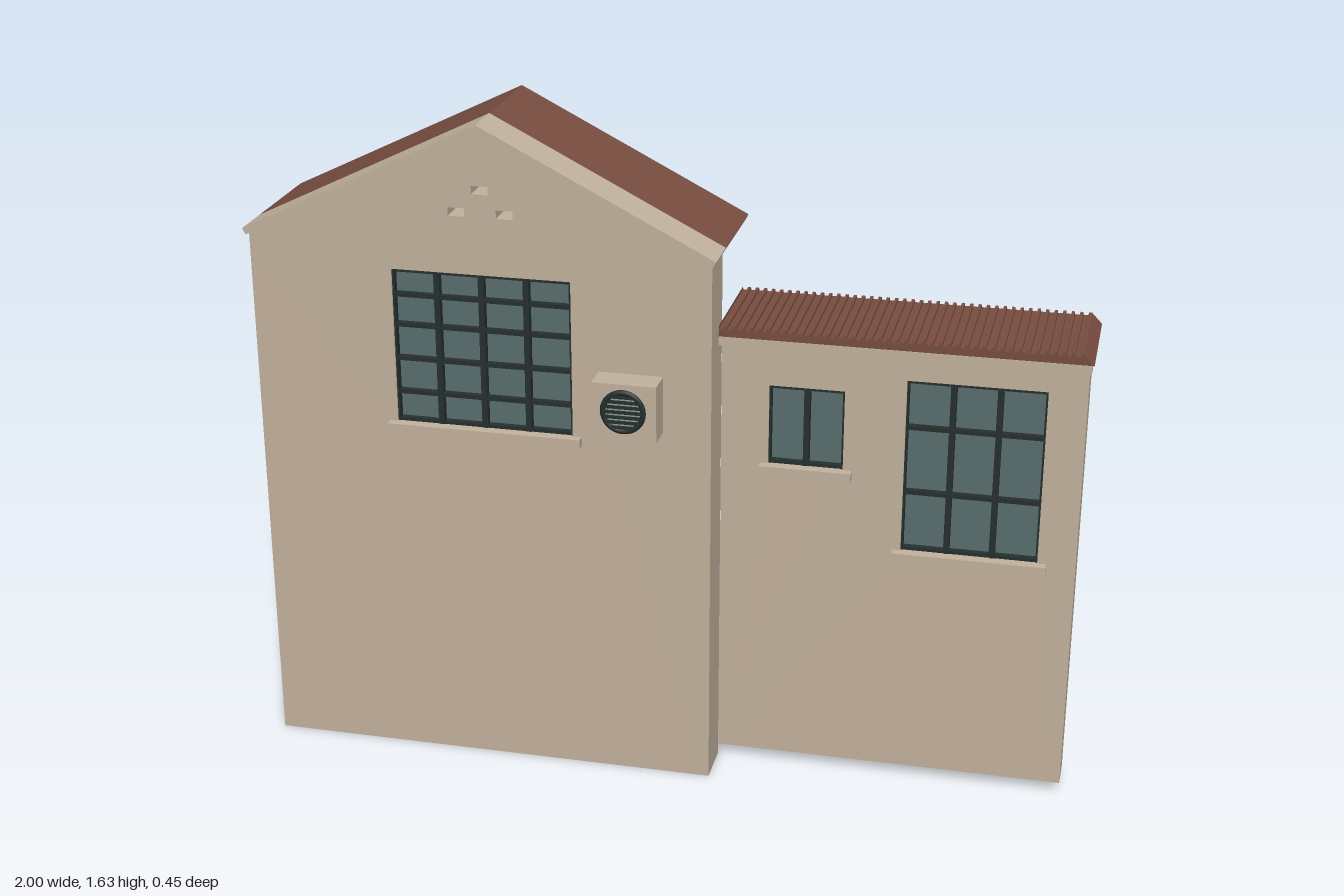
import * as THREE from 'three';

const mat = (name, color) => {
  const m = new THREE.MeshStandardMaterial({ color });
  m.name = name;
  return m;
};

export function createModel() {
  const group = new THREE.Group();
  const plaster = mat('plaster', 0xc4b39f);
  const tile = mat('roofTile', 0x784d40);
  const glass = mat('glass', 0x5a6e70);
  const iron = mat('darkIron', 0x26302e);
  const grille = mat('grilleGrey', 0x8fa09a);

  const add = (name, geometry, material, parent = group) => {
    const m = new THREE.Mesh(geometry, material);
    m.name = name;
    parent.add(m);
    return m;
  };
  // Box from its lower and upper limits on each axis
  const box = (name, material, x0, x1, y0, y1, z0, z1, parent) => {
    const g = new THREE.BoxGeometry(x1 - x0, y1 - y0, z1 - z0);
    g.translate((x0 + x1) / 2, (y0 + y1) / 2, (z0 + z1) / 2);
    return add(name, g, material, parent);
  };
  // Front outline extruded from z0 to z1, with rectangular holes [x0, x1, y0, y1]
  const slab = (name, material, points, z0, z1, holes = []) => {
    const shape = new THREE.Shape(points.map(p => new THREE.Vector2(p[0], p[1])));
    for (const [x0, x1, y0, y1] of holes) {
      shape.holes.push(new THREE.Path([[x0, y0], [x0, y1], [x1, y1], [x1, y0]].map(p => new THREE.Vector2(p[0], p[1]))));
    }
    const g = new THREE.ExtrudeGeometry(shape, { depth: z1 - z0, bevelEnabled: false });
    g.translate(0, 0, z0);
    return add(name, g, material);
  };

  // Openings
  const mainWindow = [-0.635, -0.2, 0.885, 1.27];
  const smallWindow = [0.25, 0.43, 0.81, 1.01];
  const tallWindow = [0.575, 0.9, 0.615, 1.05];
  const vents = [[-0.412, 1.475], [-0.47, 1.42], [-0.354, 1.42]]
    .map(([x, y]) => [x - 0.02, x + 0.02, y - 0.01, y + 0.01]);

  // Walls
  slab('gableWall', plaster,
    [[-0.985, 0], [0.135, 0], [0.135, 1.331], [-0.415, 1.612], [-0.985, 1.335]],
    0.03, 0.145, [mainWindow, ...vents]);
  slab('lowWall', plaster,
    [[0.135, 0.027], [0.99, 0.027], [0.99, 1.12], [0.135, 1.12]],
    -0.06, 0.029, [smallWindow, tallWindow]);
  for (const [x0, x1, y0, y1] of vents) box('ventBack', iron, x0, x1, y0, y1, 0.04, 0.05);

  // Gable roof: plaster verge in front, tiles behind
  const chevron = [[-1, 1.345], [-0.992, 1.33], [-0.415, 1.61], [0.137, 1.33], [0.145, 1.345], [-0.415, 1.63]];
  slab('gableTrim', plaster, chevron, 0.04, 0.15);
  slab('gableRoof', tile, chevron, -0.227, 0.04);

  // Low roof: ribbed tiles with a sloped end, on a plaster slab
  box('lowRoofSlab', plaster, 0.135, 0.995, 1.115, 1.137, -0.135, 0.069);
  const ribs = [[0.135, 1.137], [1, 1.137], [0.975, 1.163]];
  for (let i = 41; i >= 0; i--) {
    const x = 0.135 + i * 0.02;
    ribs.push([x + 0.013, 1.163], [x + 0.012, 1.156], [x + 0.001, 1.156], [x, 1.163]);
  }
  slab('lowRoofTiles', tile, ribs, -0.22, 0.067);

  // Window: pane, frame, glazing bars and sill
  const addWindow = (name, [x0, x1, y0, y1], face, columns, rows) => {
    const w = new THREE.Group();
    w.name = name;
    group.add(w);
    const z0 = face - 0.022, z1 = face - 0.004;
    box('pane', glass, x0, x1, y0, y1, face - 0.028, z0, w);
    for (let i = 0; i <= columns; i++) {
      const x = x0 + (x1 - x0) * i / columns;
      const half = i % columns ? 0.007 : 0.005;
      box('uprightBar', iron, Math.max(x0, x - half), Math.min(x1, x + half), y0, y1, z0, z1, w);
    }
    for (const y of [y0 + 0.003, ...rows, y1 - 0.003]) {
      box('crossBar', iron, x0, x1, Math.max(y0, y - 0.005), Math.min(y1, y + 0.005), z0, z1 - 0.002, w);
    }
    box('sill', plaster, x0 - 0.02, x1 + 0.022, y0 - 0.022, y0, face - 0.01, face + 0.022, w);
  };
  addWindow('mainWindow', mainWindow, 0.145, 4, [0.96, 1.045, 1.13, 1.205]);
  addWindow('smallWindow', smallWindow, 0.029, 2, []);
  addWindow('tallWindow', tallWindow, 0.029, 3, [0.765, 0.93]);

  // Air conditioner with round fan grille
  const unit = new THREE.Group();
  unit.name = 'airConditioner';
  group.add(unit);
  box('casing', plaster, -0.135, 0.02, 0.916, 1.055, 0.145, 0.215, unit);
  const cx = -0.059, cy = 0.988, r = 0.048;
  const disc = new THREE.CylinderGeometry(r, r, 0.004, 24);
  disc.rotateX(Math.PI / 2);
  add('fanDisc', disc, grille, unit).position.set(cx, cy, 0.216);
  add('fanRing', new THREE.TorusGeometry(r, 0.007, 8, 32), iron, unit).position.set(cx, cy, 0.217);
  for (let i = -3; i <= 3; i++) {
    const dy = i * 0.0125;
    const half = Math.sqrt(r * r - dy * dy);
    box('fanSlat', iron, cx - half, cx + half, cy + dy - 0.0035, cy + dy + 0.0035, 0.216, 0.223, unit);
  }
  return group;
}
